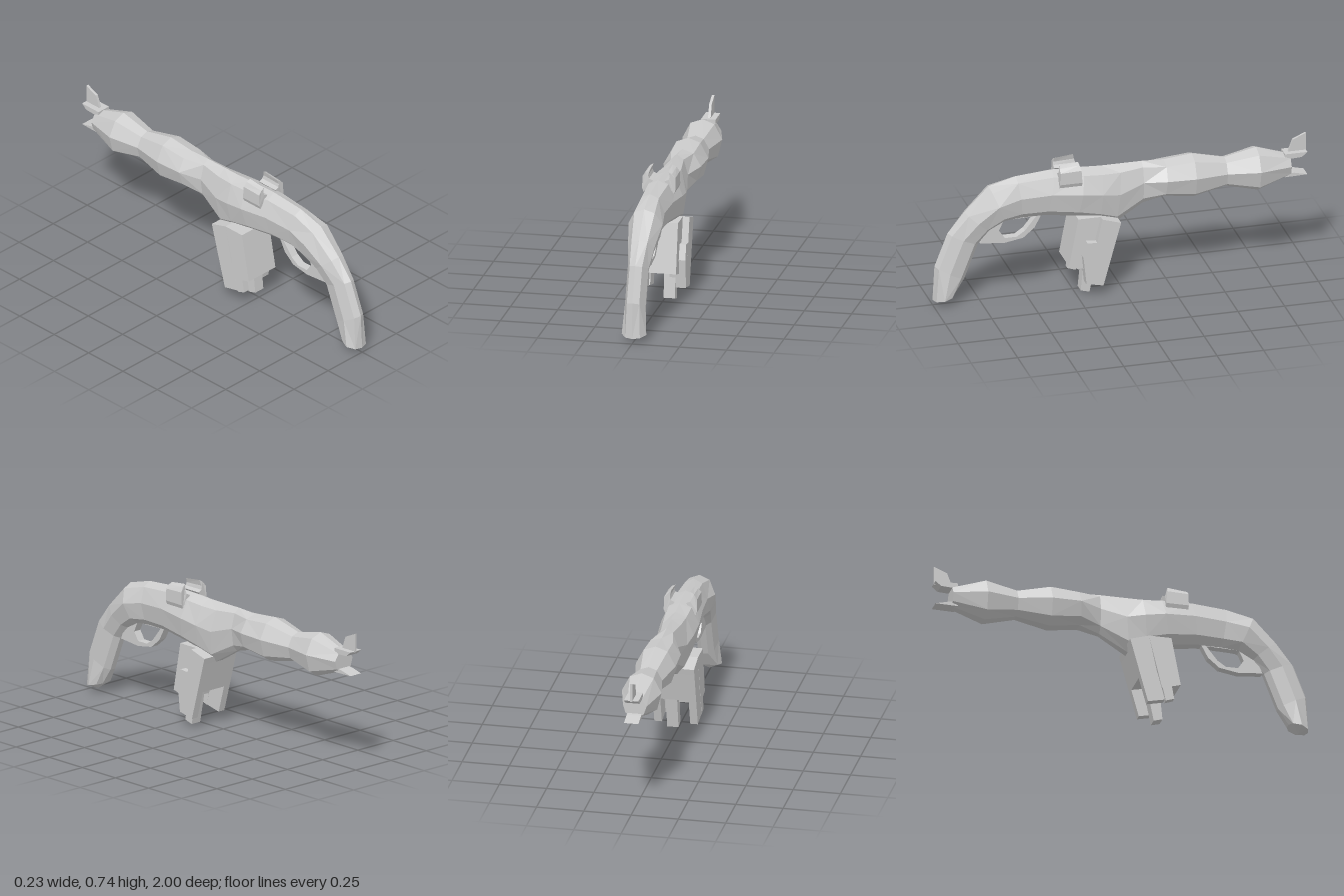
import * as THREE from 'three';

const material = new THREE.MeshStandardMaterial({ color: 0xcccccc, flatShading: true, side: THREE.DoubleSide });

function toShape(points) {
  return new THREE.Shape(points.map(([x, y]) => new THREE.Vector2(x, y)));
}

// Side profile in (z, y), extruded between two x positions
function sidePlate(name, points, x0, x1, hole) {
  const shape = toShape(points);
  if (hole) shape.holes.push(toShape(hole));
  const g = new THREE.ExtrudeGeometry(shape, { depth: x1 - x0, bevelEnabled: false });
  g.rotateY(-Math.PI / 2);
  g.translate(x1, 0, 0);
  const mesh = new THREE.Mesh(g, material);
  mesh.name = name;
  return mesh;
}

// Faceted loft: each section is [top z, top y, bottom z, bottom y, half width]
function loft(name, sections, half, endPoints) {
  const ring = [...half, ...half.slice(1).reverse().map(([a, s]) => [-a, s])];
  const n = ring.length, pos = [], index = [];
  for (const [zt, yt, zb, yb, w] of sections)
    for (const [a, s] of ring) pos.push(w * a, yb + (yt - yb) * s, zb + (zt - zb) * s);
  for (let i = 0; i < sections.length - 1; i++)
    for (let j = 0; j < n; j++) {
      const k = (j + 1) % n, a = i * n + j, b = i * n + k, c = a + n, d = b + n;
      if ((i + j) % 2) index.push(a, c, b, b, c, d);
      else index.push(a, c, d, a, d, b);
    }
  const first = pos.length / 3, last = (sections.length - 1) * n;
  endPoints.forEach((p) => pos.push(...p));
  for (let j = 0; j < n; j++) {
    const k = (j + 1) % n;
    index.push(first, j, k, first + 1, last + k, last + j);
  }
  const g = new THREE.BufferGeometry();
  g.setAttribute('position', new THREE.Float32BufferAttribute(pos, 3));
  g.setIndex(index);
  const flat = g.toNonIndexed();
  flat.computeVertexNormals();
  const mesh = new THREE.Mesh(flat, material);
  mesh.name = name;
  return mesh;
}

export function createModel() {
  const group = new THREE.Group();

  // Curved grip, receiver and wavy barrel in one continuous body
  const body = [
    [1.0, 0.03, 0.89, 0.055, 0.065],
    [0.99, 0.22, 0.835, 0.14, 0.055],
    [0.92, 0.40, 0.76, 0.33, 0.055],
    [0.83, 0.51, 0.70, 0.40, 0.07],
    [0.70, 0.64, 0.62, 0.445, 0.09],
    [0.555, 0.68, 0.53, 0.452, 0.075],
    [0.36, 0.695, 0.40, 0.452, 0.085],
    [0.20, 0.69, 0.24, 0.43, 0.1],
    [0.10, 0.685, 0.12, 0.40, 0.095],
    [0.0, 0.685, 0.03, 0.365, 0.08],
    [-0.12, 0.685, -0.12, 0.455, 0.055],
    [-0.24, 0.68, -0.23, 0.487, 0.1],
    [-0.39, 0.695, -0.39, 0.465, 0.105],
    [-0.565, 0.653, -0.565, 0.5, 0.072],
    [-0.735, 0.69, -0.735, 0.46, 0.105],
    [-0.91, 0.63, -0.91, 0.52, 0.062],
  ];
  const half = [[0, 1], [0.6, 0.9], [1, 0.55], [0.78, 0.15], [0.3, 0]];
  group.add(loft('body', body, half, [[0, 0.015, 0.945], [0, 0.575, -0.91]]));

  // Open guard loop below the grip
  group.add(sidePlate('triggerGuard',
    [[0.42, 0.46], [0.46, 0.385], [0.52, 0.335], [0.62, 0.318], [0.75, 0.33], [0.72, 0.4], [0.62, 0.46]],
    -0.022, 0.022,
    [[0.45, 0.45], [0.625, 0.445], [0.65, 0.39], [0.62, 0.345], [0.555, 0.345], [0.51, 0.375]]));

  // Stepped blocks slanting down beneath the receiver: profile and x range
  const blocks = [
    ['magazineFront', [[0.12, 0.43], [0.02, 0.40], [0.03, 0.365], [0.075, 0.2], [0.165, 0.22]], -0.115, 0.115],
    ['magazineLegRight', [[0.165, 0.225], [0.075, 0.2], [0.115, 0.055], [0.205, 0.075]], 0.075, 0.115],
    ['magazineLegLeft', [[0.165, 0.225], [0.075, 0.2], [0.115, 0.055], [0.205, 0.075]], -0.115, -0.075],
    ['magazineRear', [[0.24, 0.43], [0.12, 0.43], [0.19, 0.14], [0.29, 0.168]], -0.115, 0.08],
    ['magazineStep', [[0.2, 0.305], [0.145, 0.3], [0.205, 0.07], [0.222, 0.225]], 0.03, 0.115],
    ['magazineRearTab', [[0.24, 0.17], [0.19, 0.16], [0.21, 0.07], [0.255, 0.085]], -0.115, -0.08],
    ['magazineCentreTab', [[0.2, 0.24], [0.13, 0.23], [0.175, 0.003], [0.222, 0.016]], 0, 0.06],
  ];
  for (const [name, profile, x0, x1] of blocks) group.add(sidePlate(name, profile, x0, x1));

  // Pair of hooked rear sight ears, leaning forward at the top
  for (const s of [-1, 1]) {
    const ear = new THREE.ExtrudeGeometry(toShape(
      [[0.08, 0.62], [0.088, 0.64], [0.087, 0.708], [0.07, 0.733], [0.05, 0.745], [0.057, 0.715], [0.052, 0.695], [0.03, 0.685]]
        .map(([x, y]) => [s * x, y])), { depth: 0.12, bevelEnabled: false });
    const p = ear.attributes.position;
    for (let i = 0; i < p.count; i++) {
      const z = p.getZ(i), t = Math.max(0, p.getY(i) - 0.69);
      p.setZ(i, 0.22 + z + (z > 0.06 ? -0.1 * t : 0.25 * t));
      if (z > 0.06) p.setY(i, p.getY(i) - 0.2 * t);
    }
    ear.computeVertexNormals();
    const mesh = new THREE.Mesh(ear, material);
    mesh.name = s > 0 ? 'rearSightLeft' : 'rearSightRight';
    group.add(mesh);
  }

  // Muzzle: upright fin on a small base, with a wedge below
  group.add(
    sidePlate('frontSight', [[-0.9, 0.63], [-0.93, 0.71], [-1, 0.74], [-1, 0.64], [-0.97, 0.625]], -0.007, 0.007),
    sidePlate('frontSightBase', [[-0.88, 0.645], [-1, 0.645], [-0.97, 0.62], [-0.88, 0.615]], -0.038, 0.038),
    sidePlate('muzzleWedge', [[-0.88, 0.54], [-0.93, 0.535], [-1, 0.518], [-0.88, 0.515]], -0.038, 0.038));

  return group;
}
